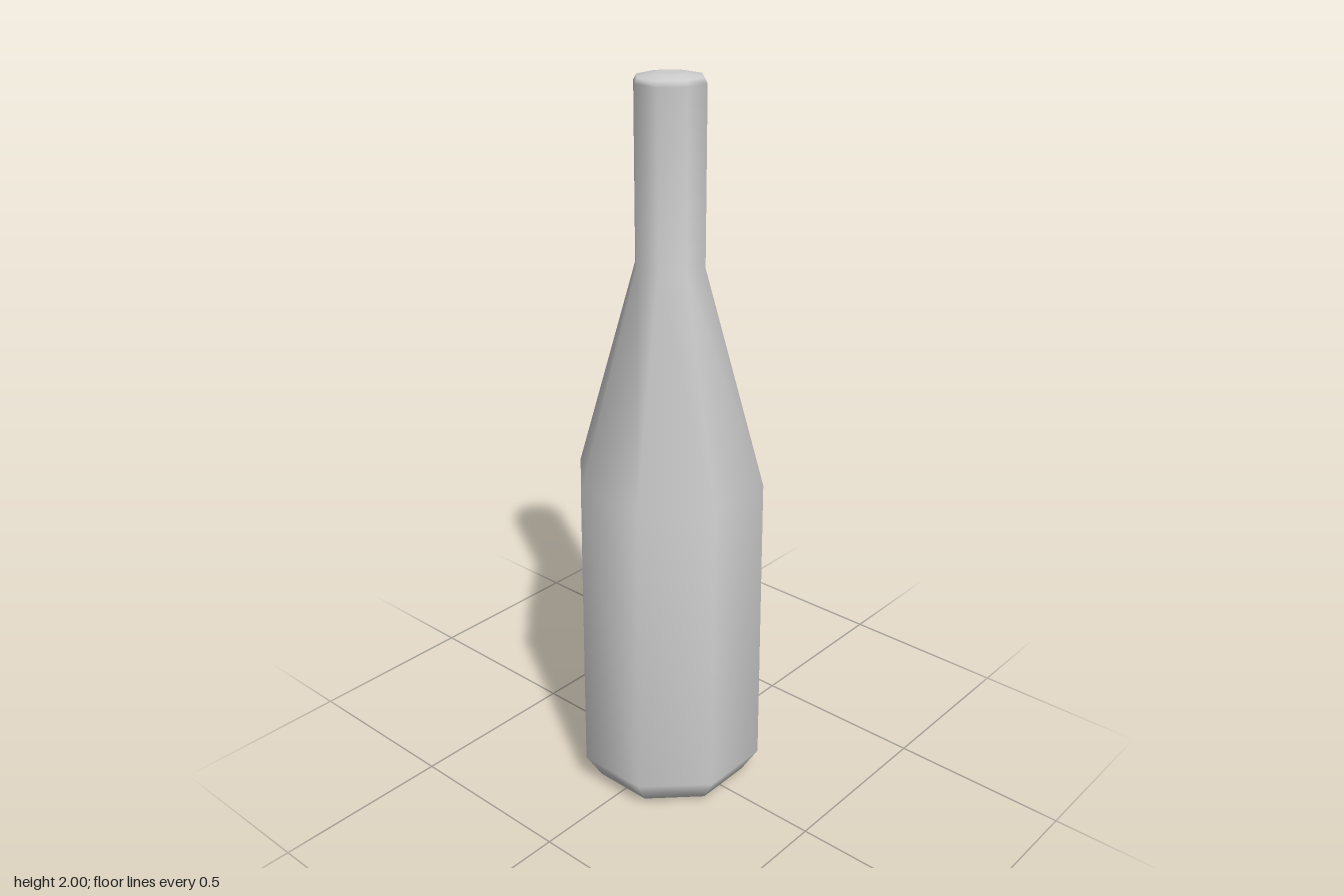
import * as THREE from 'three';

const SIDES = 8;
const TURN = Math.PI / SIDES; // puts flat sides on the x and z axes
const toCorner = (apothem) => apothem / Math.cos(TURN);

export function createModel() {
  const model = new THREE.Group();
  model.name = 'bottle';
  const glass = new THREE.MeshStandardMaterial({ color: 0xcccccc });
  glass.name = 'pale grey';

  const add = (name, geometry) => {
    const mesh = new THREE.Mesh(geometry, glass);
    mesh.name = name;
    model.add(mesh);
    return mesh;
  };

  // Smooth eight-sided wall: [distance from axis to flat side, height]
  const profile = [
    [0.135, 0], [0.205, 0.015], [0.248, 0.09], [0.241, 0.945],
    [0.087, 1.525], [0.087, 1.978], [0.08, 1.992], [0.034, 2],
  ].map(([r, y]) => new THREE.Vector2(toCorner(r), y));
  add('bottleWall', new THREE.LatheGeometry(profile, SIDES, TURN));

  // Flat discs closing both ends
  const cap = (name, r, y, tilt) => {
    const geometry = new THREE.CircleGeometry(toCorner(r), SIDES, TURN);
    add(name, geometry.rotateX(tilt).translate(0, y, 0));
  };
  cap('mouthCap', 0.034, 2, -Math.PI / 2);
  cap('baseCap', 0.135, 0, Math.PI / 2);

  return model;
}
